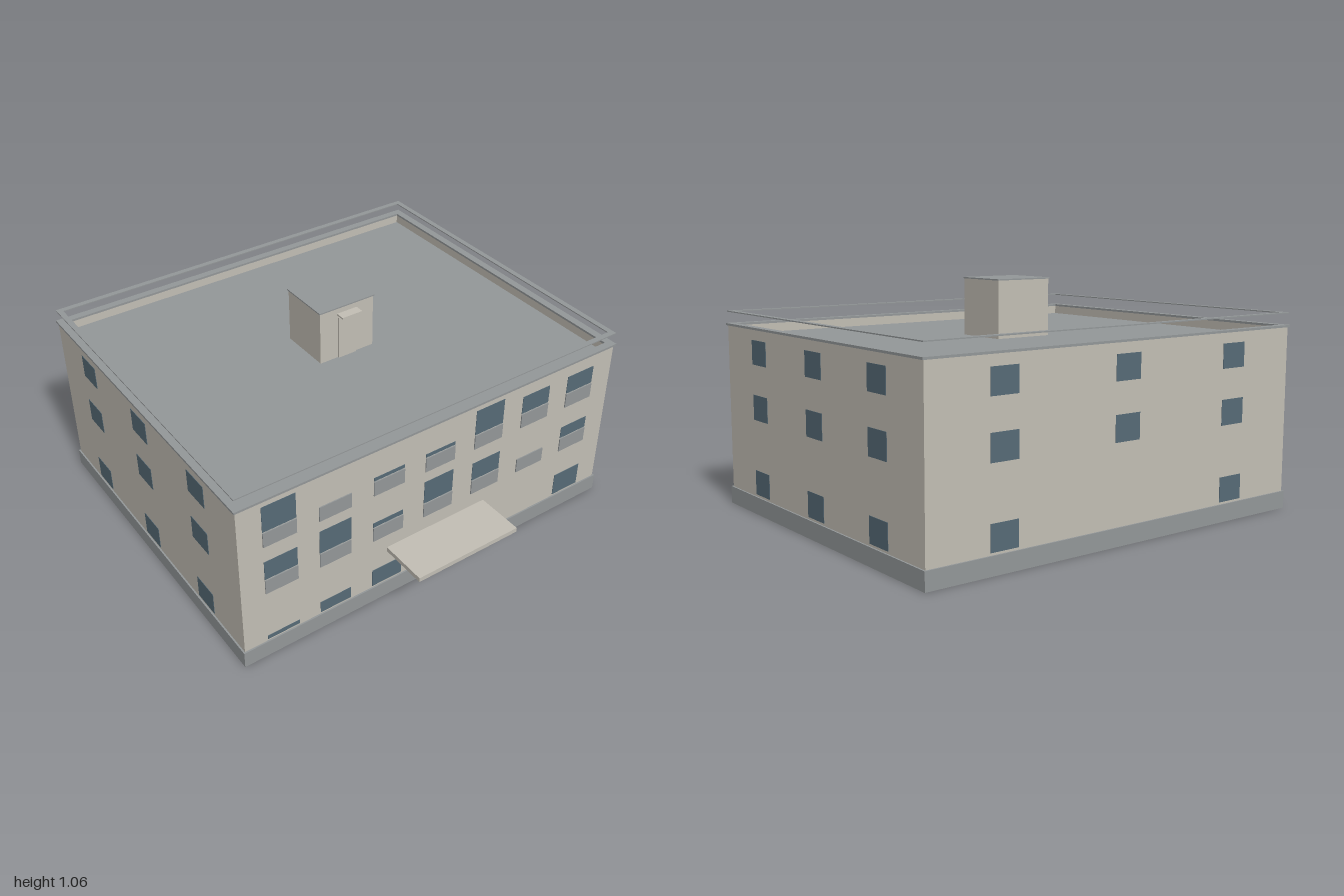
import * as THREE from 'three';

export function createModel() {
  const model = new THREE.Group();
  const mat = (name, color, side = THREE.FrontSide) => {
    const m = new THREE.MeshStandardMaterial({ color, side });
    m.name = name;
    return m;
  };
  const plaster = mat('plaster', 0xc2beb4, THREE.DoubleSide);
  const grey = mat('grey', 0x939798, THREE.DoubleSide);
  const glass = mat('glass', 0x566a76);

  const add = (name, geo, material, x = 0, y = 0, z = 0, parent = model) => {
    const mesh = new THREE.Mesh(geo, material);
    mesh.name = name;
    mesh.position.set(x, y, z);
    parent.add(mesh);
    return mesh;
  };
  // Box given by its minimum and maximum corners
  const box = (name, material, x0, x1, y0, y1, z0, z1, parent = model) =>
    add(name, new THREE.BoxGeometry(x1 - x0, y1 - y0, z1 - z0), material,
      (x0 + x1) / 2, (y0 + y1) / 2, (z0 + z1) / 2, parent);

  // Main block: half width, half depth and centre of its plan
  const HX = 0.99, HZ = 0.808, CZ = -0.111;
  const front = CZ + HZ, back = CZ - HZ;

  // Rectangular ring around the plan; out and inn offset the wall line
  const rect = (Type, d) => {
    const p = new Type(), w = HX + d, h = HZ + d;
    p.moveTo(-w, -h).lineTo(w, -h).lineTo(w, h).lineTo(-w, h).closePath();
    return p;
  };
  const ring = (name, material, out, inn, y0, y1) => {
    const shape = rect(THREE.Shape, out);
    shape.holes.push(rect(THREE.Path, inn));
    const geo = new THREE.ExtrudeGeometry(shape, { depth: y1 - y0, bevelEnabled: false });
    geo.rotateX(-Math.PI / 2);
    return add(name, geo, material, 0, y0, CZ);
  };

  // Shell, open at the bottom, with parapet, plinth, cornice and roof rail
  ring('walls', plaster, 0, -0.004, 0, 0.842);
  ring('parapet', plaster, -0.004, -0.027, 0.8, 0.842);
  ring('plinth', grey, 0.008, 0.0005, 0, 0.08);
  ring('cornice', grey, 0.008, -0.028, 0.84, 0.85);
  ring('roofRail', grey, 0.002, -0.024, 0.902, 0.907);
  box('roof', grey, -HX + 0.003, HX - 0.003, 0.796, 0.8, back + 0.003, front - 0.003);

  // Rooftop stair house
  const house = new THREE.Group();
  house.name = 'stairHouse';
  model.add(house);
  box('stairHouseWalls', plaster, -0.145, 0.14, 0.8, 1.057, -0.24, 0.013, house);
  box('stairHouseRoof', grey, -0.149, 0.144, 1.057, 1.063, -0.245, 0.017, house);
  box('stairHouseDoor', plaster, -0.05, 0.045, 0.8, 1.01, 0.013, 0.02, house);
  box('stairHouseCanopy', plaster, -0.055, 0.05, 1.022, 1.03, 0.013, 0.057, house);

  // Entrance
  box('entranceDoor', glass, -0.107, 0.105, 0.001, 0.226, front - 0.012, front + 0.011);
  box('entranceCanopy', plaster, -0.27, 0.27, 0.255, 0.277, front, 0.925);

  // Front windows: top of the visible glass per column, 0 where covered
  const cols = [-0.8, -0.537, -0.268, 0, 0.266, 0.532, 0.798];
  const rows = [
    { base: 0.088, tops: [0.108, 0.147, 0.178, 0, 0.178, 0, 0.204] },
    { base: 0.43, tops: [0.525, 0.548, 0.453, 0.548, 0.525, 0, 0.49], apron: true },
    { base: 0.683, tops: [0.81, 0, 0.7, 0.7, 0.81, 0.773, 0.773], apron: true },
  ];
  for (const { base, tops, apron } of rows) {
    cols.forEach((x, i) => {
      const a = x - 0.078, b = x + 0.078;
      if (tops[i]) box('frontWindow', glass, a, b, base, tops[i], front - 0.001, front + 0.002);
      if (apron) box('windowApron', grey, a, b, base - 0.077, base - 0.004, front - 0.001, front + 0.005);
    });
  }

  // Side and back windows
  for (const [y0, y1] of [[0.09, 0.202], [0.433, 0.547], [0.683, 0.793]]) {
    for (const z of [0.382, -0.111, -0.604]) {
      for (const s of [-1, 1]) {
        add('sideWindow', new THREE.BoxGeometry(0.004, y1 - y0, 0.134), glass, s * HX, (y0 + y1) / 2, z);
      }
    }
    for (const x of [-0.63, 0, 0.63]) {
      if (x === 0 && y0 < 0.1) continue;
      add('backWindow', new THREE.BoxGeometry(0.134, y1 - y0, 0.004), glass, x, (y0 + y1) / 2, back);
    }
  }
  return model;
}
